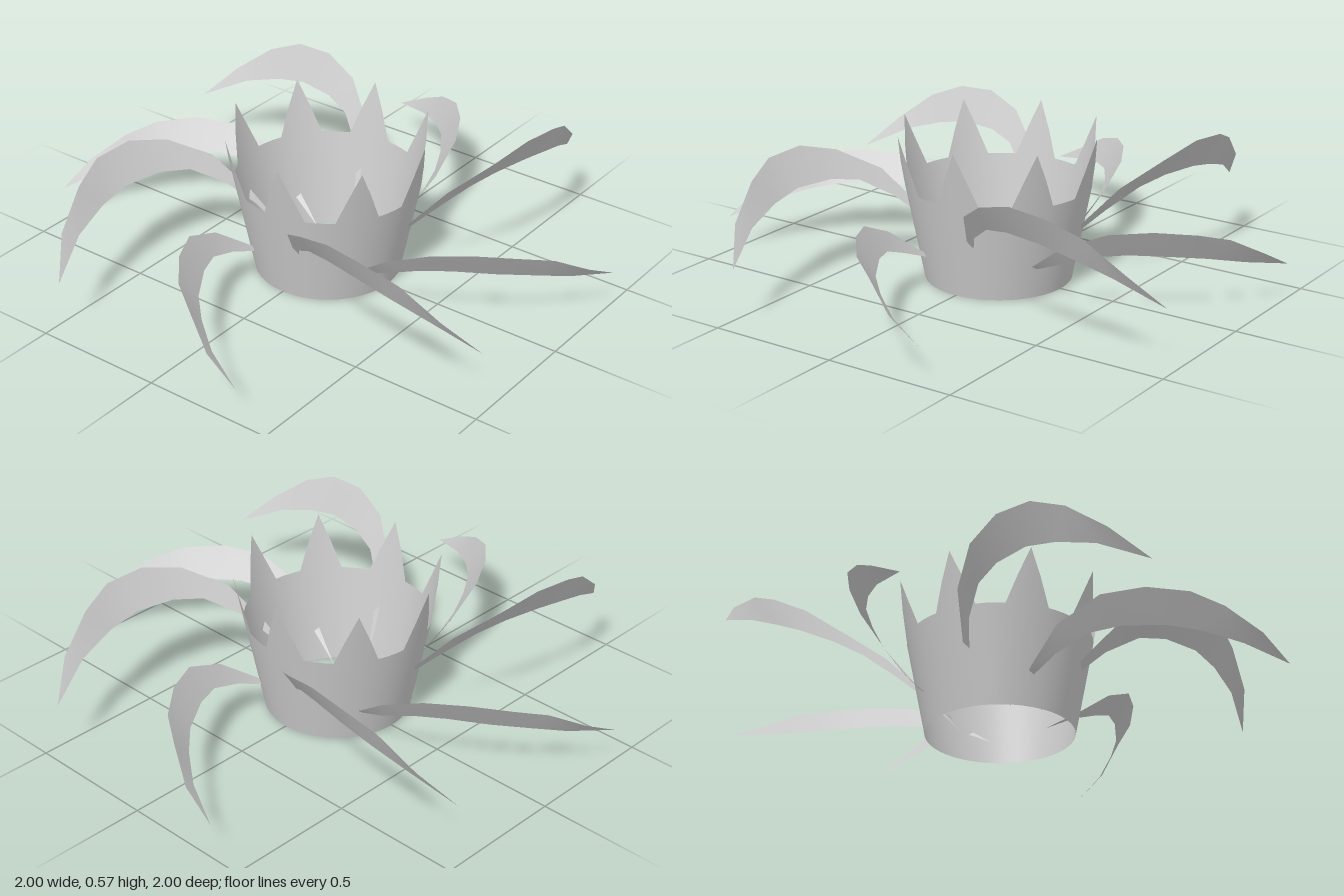
import * as THREE from 'three';

const grey = new THREE.MeshStandardMaterial({ color: 0xcccccc, side: THREE.DoubleSide });
grey.name = 'pale grey';

// Builds a strip between two equally long rows of points
function strip(rowA, rowB, closed) {
  const n = rowA.length, index = [];
  for (let i = 0; i < (closed ? n : n - 1); i++) {
    const j = (i + 1) % n;
    index.push(i, n + i, j, n + i, n + j, j);
  }
  const geo = new THREE.BufferGeometry();
  geo.setAttribute('position', new THREE.Float32BufferAttribute([...rowA, ...rowB].flat(), 3));
  geo.setIndex(index);
  geo.computeVertexNormals();
  return geo;
}

// Flared open cup whose rim rises into eight pointed teeth
function makeCup() {
  const teeth = 8, valley = 0.365, tip = 0.575, halfTooth = 13.5;
  const wall = (deg, y) => {
    const a = THREE.MathUtils.degToRad(deg), r = 0.275 + (0.112 * y) / tip;
    return [r * Math.sin(a), y, r * Math.cos(a)];
  };
  const top = [], bottom = [];
  for (let k = 0; k < teeth; k++) {
    for (const d of [-13.5, -6.75, 0, 6.75, 13.5, 19.5, 25.5]) {
      const rise = Math.max(0, 1 - Math.abs(d) / halfTooth);
      const deg = 10 + k * 45 + d;
      top.push(wall(deg, valley + (tip - valley) * rise));
      bottom.push(wall(deg, 0));
    }
  }
  return strip(top, bottom, true);
}

// Curved leaf edges from tip to root: x, z, height of low leaf, height of high leaf
const outerEdge = [
  [0.38, 1.0, 0.135, 0.22], [0.24, 0.98, 0.21, 0.34], [0.11, 0.91, 0.285, 0.45],
  [0, 0.84, 0.32, 0.5], [-0.1, 0.72, 0.335, 0.51], [-0.175, 0.58, 0.32, 0.465],
  [-0.2, 0.41, 0.245, 0.375], [-0.165, 0.27, 0.14, 0.23], [-0.11, 0.13, 0.04, 0.05],
];
const innerEdge = [
  [0.38, 1.0, 0.135, 0.22], [0.21, 0.92, 0.175, 0.31], [0.09, 0.83, 0.205, 0.355],
  [0, 0.74, 0.22, 0.38], [-0.085, 0.61, 0.225, 0.38], [-0.135, 0.5, 0.21, 0.355],
  [-0.155, 0.37, 0.16, 0.28], [-0.14, 0.26, 0.115, 0.19], [-0.11, 0.13, 0.04, 0.05],
];

function makeLeaf(high) {
  const row = (edge) => edge.map(([x, z, low, up]) => [x, high ? up : low, z]);
  return strip(row(outerEdge), row(innerEdge), false);
}

export function createModel() {
  const model = new THREE.Group();
  model.name = 'flower';

  const cup = new THREE.Mesh(makeCup(), grey);
  cup.name = 'toothedCup';
  model.add(cup);

  // Low and high leaves alternate around the cup
  const leaves = [makeLeaf(false), makeLeaf(true)];
  for (let k = 0; k < 8; k++) {
    const leaf = new THREE.Mesh(leaves[k % 2], grey);
    leaf.name = k % 2 ? 'highLeaf' : 'lowLeaf';
    leaf.rotation.y = (k * Math.PI) / 4;
    model.add(leaf);
  }
  return model;
}
